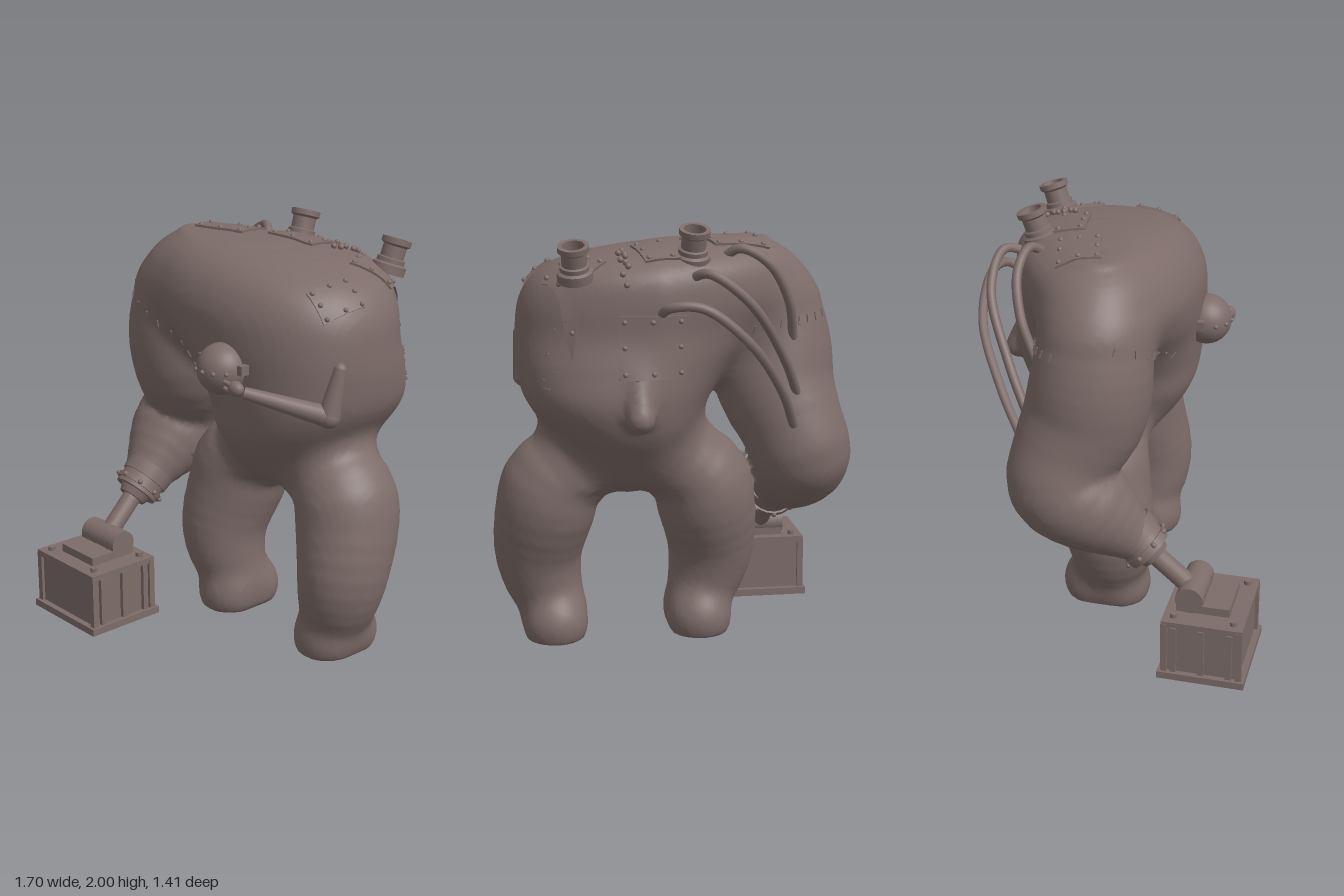
import * as THREE from 'three';
import { toCreasedNormals } from 'three/addons/utils/BufferGeometryUtils.js';

const V = (x, y, z) => new THREE.Vector3(x, y, z);
const spline = (pts, n) => new THREE.CatmullRomCurve3(pts, false, 'catmullrom', 0.5).getPoints(n);
// Smooth union of two distances
const blend = (a, b, k) => Math.min(a, b) - Math.max(k - Math.abs(a - b), 0) ** 2 / (4 * k);

// Distance to a chain of rounded links [x, y, z, radius]
function chain(pts, x, y, z) {
  let best = 9;
  for (let i = 0; i < pts.length - 1; i++) {
    const [ax, ay, az, ar] = pts[i], [bx, by, bz, br] = pts[i + 1];
    const dx = bx - ax, dy = by - ay, dz = bz - az, px = x - ax, py = y - ay, pz = z - az;
    const t = Math.min(1, Math.max(0, (px * dx + py * dy + pz * dz) / (dx * dx + dy * dy + dz * dz)));
    best = Math.min(best, Math.sqrt((px - t * dx) ** 2 + (py - t * dy) ** 2 + (pz - t * dz) ** 2) - ar - t * (br - ar));
  }
  return best;
}
function smooth(pts) {
  const n = (pts.length - 1) * 3, r = spline(pts.map((p, i) => V(p[3], i, 0)), n);
  return spline(pts.map(p => V(p[0], p[1], p[2])), n).map((p, i) => [p.x, p.y, p.z, r[i].x]);
}

// Torso cross-sections, top to bottom: [y, left edge, right edge, back, front]
const sections = [
  [1.905, -0.2, -0.19, -0.12, -0.11], [1.895, -0.41, 0.02, -0.3, 0.02], [1.865, -0.49, 0.3, -0.44, 0.12],
  [1.82, -0.55, 0.51, -0.54, 0.2], [1.75, -0.6, 0.64, -0.59, 0.26], [1.64, -0.62, 0.71, -0.6, 0.3],
  [1.5, -0.48, 0.73, -0.59, 0.3], [1.35, -0.3, 0.73, -0.61, 0.28], [1.2, -0.18, 0.7, -0.62, 0.265],
  [1.05, -0.12, 0.6, -0.57, 0.235], [0.9, -0.03, 0.46, -0.46, 0.14], [0.8, 0.08, 0.36, -0.36, 0.03],
  [0.735, 0.21, 0.22, -0.2, -0.15],
];
const mids = spline(sections.map(s => V((s[1] + s[2]) / 2, s[0], (s[3] + s[4]) / 2)), 120);
const radii = spline(sections.map(s => V((s[2] - s[1]) / 2, s[0], (s[4] - s[3]) / 2)), 120);

function torsoRaw(x, y, z) {
  const yc = Math.min(mids[0].y, Math.max(mids[120].y, y));
  let lo = 0, hi = 120;
  while (hi - lo > 1) {
    const m = (lo + hi) >> 1;
    if (mids[m].y >= yc) lo = m; else hi = m;
  }
  const t = (mids[lo].y - yc) / (mids[lo].y - mids[hi].y || 1);
  const mix = (list, k) => list[lo][k] + t * (list[hi][k] - list[lo][k]);
  const side = Math.max(0, 0.1 - x);   // thinner towards the heavy shoulder
  const rx = Math.max(0.005, mix(radii, 'x')), rz = Math.max(0.005, mix(radii, 'z') * (1 - 0.4 * side));
  const u = Math.abs(x - mix(mids, 'x')) / rx, w = Math.abs(z - 0.14 * side - mix(mids, 'z')) / rz;
  return (Math.pow(u ** 2.3 + w ** 2.3, 1 / 2.3) - 1) * Math.min(rx, rz) + Math.abs(y - yc);
}
function torso(x, y, z) {
  const e = 0.004, f = torsoRaw(x, y, z);
  if (f > 0.5) return f;
  const g = Math.hypot(torsoRaw(x + e, y, z) - f, torsoRaw(x, y + e, z) - f, torsoRaw(x, y, z + e) - f) / e;
  return f / Math.max(1, g);
}

// Limbs
const heavyArm = smooth([
  [-0.42, 1.61, -0.06, 0.22], [-0.48, 1.5, -0.06, 0.258], [-0.5, 1.35, -0.07, 0.278], [-0.505, 1.2, -0.1, 0.278],
  [-0.565, 1.03, -0.17, 0.248], [-0.61, 0.89, -0.19, 0.24], [-0.605, 0.8, -0.08, 0.22],
  [-0.575, 0.67, 0.08, 0.14], [-0.555, 0.6, 0.17, 0.1],
]);
const leg = smooth([
  [0.08, 0.95, -0.18, 0.19], [-0.12, 0.78, -0.145, 0.23], [-0.165, 0.65, -0.13, 0.235], [-0.2, 0.45, -0.08, 0.212],
  [-0.185, 0.3, -0.07, 0.188], [-0.14, 0.17, -0.09, 0.155],
]);
const foot = [[-0.13, 0.08, -0.165, 0.155], [-0.13, 0.08, -0.04, 0.155]];
const tail = [[0.21, 1.38, -0.57, 0.035], [0.21, 1.16, -0.64, 0.065]];

function bodyField(x, y, z) {
  const limb = px => blend(chain(leg, px, y, (z + 0.12) / 1.07 - 0.12), chain(foot, px, y, z), 0.05);
  const trunk = blend(torso(x, y, z), chain(tail, x, y, z), 0.04);
  const legs = blend(limb(x), limb(0.435 - x), 0.1);
  return Math.max(-y, Math.min(blend(trunk, legs, 0.12), blend(trunk, chain(heavyArm, x, y, z), 0.11)));
}

// Skin mesh over a field: one vertex per crossed cell, one quad per crossed edge
function skinGeometry(field, min, max, h) {
  const n = [0, 1, 2].map(k => Math.ceil((max[k] - min[k]) / h) + 1);
  const step = [1, n[0], n[0] * n[1]], F = new Float32Array(n[0] * n[1] * n[2]).fill(1);
  const cell = new Int32Array(F.length), pos = [], idx = [];
  const each = (from, fn) => {
    for (let k = from; k < n[2] - 1; k++) for (let j = from; j < n[1] - 1; j++) for (let i = from; i < n[0] - 1; i++)
      fn(i + j * step[1] + k * step[2], [i, j, k]);
  };
  each(0, (q, p) => { F[q] = field(...p.map((v, k) => min[k] + v * h)); });
  const corner = c => [c & 1, c >> 1 & 1, c >> 2 & 1];
  each(0, (q, p) => {
    const val = c => F[q + (c & 1) + (c >> 1 & 1) * step[1] + (c >> 2 & 1) * step[2]];
    const sum = [0, 0, 0];
    let count = 0;
    for (let c = 0; c < 8; c++) for (const b of [1, 2, 4]) {
      if (c & b || (val(c) < 0) === (val(c | b) < 0)) continue;
      const t = val(c) / (val(c) - val(c | b)), A = corner(c), B = corner(c | b);
      for (let k = 0; k < 3; k++) sum[k] += A[k] + t * (B[k] - A[k]);
      count++;
    }
    if (!count) return;
    cell[q] = pos.length / 3;
    for (let k = 0; k < 3; k++) pos.push(min[k] + (p[k] + sum[k] / count) * h);
  });
  each(1, q => {
    for (let a = 0; a < 3; a++) {
      if ((F[q] < 0) === (F[q + step[a]] < 0)) continue;
      const u = step[(a + 1) % 3], v = step[(a + 2) % 3];
      const [A, B, C, D] = [q - u - v, q - v, q, q - u].map(c => cell[c]);
      if (F[q] < 0) idx.push(A, B, C, A, C, D); else idx.push(A, C, B, A, D, C);
    }
  });
  return meshGeometry(pos, idx);
}
function meshGeometry(pos, idx) {
  const g = new THREE.BufferGeometry();
  g.setAttribute('position', new THREE.Float32BufferAttribute(pos, 3));
  g.setIndex(idx);
  g.computeVertexNormals();
  return g;
}

export function createModel() {
  const root = new THREE.Group(), skin = new THREE.MeshStandardMaterial({ color: 0x7d6c69 });
  skin.name = 'dull brown';
  const add = (name, geo, x = 0, y = 0, z = 0) => {
    const m = new THREE.Mesh(geo, skin);
    m.name = name;
    m.position.set(x, y, z);
    root.add(m);
    return m;
  };
  const box = (name, w, h, d, x, y, z) => add(name, new THREE.BoxGeometry(w, h, d), x, y, z);
  const ball = (name, r, p) => add(name, new THREE.SphereGeometry(r, 16, 12), p.x, p.y, p.z);
  const rod = (name, a, b, ra, rb = ra) => {
    const m = add(name, new THREE.CylinderGeometry(rb, ra, a.distanceTo(b), 20));
    m.position.copy(a).lerp(b, 0.5);
    m.quaternion.setFromUnitVectors(V(0, 1, 0), b.clone().sub(a).normalize());
  };
  const body = add('body', skinGeometry(bodyField, [-0.93, -0.055, -0.78], [0.93, 1.98, 0.4], 0.022));

  // Small arm reaching to the chest dome
  const tip = V(0.7, 1.45, 0.04), elbow = V(0.68, 1.235, 0.085), wrist = V(0.42, 1.345, 0.36);
  rod('smallUpperArm', elbow, tip, 0.052, 0.03);
  ball('smallShoulder', 0.03, tip);
  ball('smallElbow', 0.053, elbow);
  rod('smallForearm', elbow, wrist, 0.05, 0.028);
  ball('smallHand', 0.036, V(0.39, 1.36, 0.38)).scale.set(1.2, 1, 0.9);
  for (const dy of [-0.02, 0.01]) rod('finger', V(0.385, 1.36 + dy, 0.385), V(0.335, 1.375 + dy, 0.4), 0.014, 0.01);

  // Chest dome with bolts
  add('chestDome', new THREE.SphereGeometry(0.12, 32, 20), 0.215, 1.4, 0.305);
  for (const s of [-1, 1]) box('domeLug', 0.03, 0.045, 0.045, 0.215 + s * 0.135, 1.42, 0.3);
  for (const a of [-1, -0.5, 0, 0.5, 1]) {
    ball('domeBolt', 0.011, V(0.215 + 0.12 * Math.sin(a), 1.405, 0.305 + 0.12 * Math.cos(a)));
  }

  // Helpers that lay details on the skin
  const caster = new THREE.Raycaster();
  const hit = (p, out) => {
    caster.set(p.clone().addScaledVector(out, 0.8), out.clone().negate());
    const h = caster.intersectObject(body)[0];
    return h && { p: h.point, n: h.face.normal };
  };
  const rivet = (p, out, r = 0.012) => { const h = hit(p, out); if (h) ball('rivet', r, h.p.addScaledVector(h.n, 0.011)); };
  const stitch = (p, out, roll) => {
    const h = hit(p, out);
    if (!h) return;
    const m = box('stitch', 0.036, 0.008, 0.014, h.p.x, h.p.y, h.p.z);
    m.lookAt(h.p.clone().add(h.n));
    m.rotateZ(roll);
  };
  const patch = (name, c, dir, w, h, roll) => {
    const W = dir.clone().normalize();
    const U = (Math.abs(W.y) > 0.9 ? V(0, 0, -1) : V(0, 1, 0)).cross(W).normalize().applyAxisAngle(W, roll);
    const Y = W.clone().cross(U), t = [-1, -1, -0.6, -0.2, 0.2, 0.6, 1, 1], n = t.length, pos = [], idx = [];
    const at = (u, v) => c.clone().addScaledVector(U, u * w / 2).addScaledVector(Y, v * h / 2);
    let last = { p: c, n: W };
    for (let i = 0; i < n; i++) for (let j = 0; j < n; j++) {
      last = hit(at(t[i], t[j]), W) || last;
      const edge = i % (n - 1) === 0 || j % (n - 1) === 0, a = i * n + j;
      pos.push(...last.p.clone().addScaledVector(last.n, edge ? -0.008 : 0.011).toArray());
      if (i < n - 1 && j < n - 1) idx.push(a, a + n, a + 1, a + n, a + n + 1, a + 1);
    }
    add(name, toCreasedNormals(meshGeometry(pos, idx), 0.7));
    for (const u of [-0.82, 0, 0.82]) for (const v of [-0.82, 0, 0.82]) if (u || v) rivet(at(u, v), W);
  };

  // Riveted plates
  const up = V(0, 1, 0), back = V(0, 0, -1), front = V(0, 0, 1);
  patch('shoulderPlate', V(-0.28, 1.8, -0.18), up, 0.27, 0.2, 0.25);
  patch('middlePlate', V(0.06, 1.8, -0.36), up, 0.26, 0.25, 0.15);
  patch('rearPlate', V(0.475, 1.75, -0.4), up, 0.19, 0.22, 0.56);
  patch('sidePlate', V(0.61, 1.74, -0.02), V(0.8, 1, 0.1), 0.22, 0.16, 0.1);
  patch('backPlate', V(0.15, 1.47, -0.6), back, 0.3, 0.28, 0);

  // Seams: stitches round the arm and flank, a row of beads on the back
  for (let i = 0; i < 9; i++) {
    const k = i / 8, wob = Math.sin(i * 2);
    stitch(V(-0.68 + k * 0.6, 1.6 - 0.27 * k, 0), front, 1.2 + 0.3 * wob);
    stitch(V(-0.7 + k * 0.35, 1.55 - 0.05 * k, 0), back, 1.4);
    stitch(V(0.6, 1.28 + 0.3 * k, -0.49 + 0.03 * wob), V(1, 0, 0), 0.2 * wob);
    rivet(V(0.26 + 0.015 * wob, 1.8, -0.57 + 0.22 * k), up, 0.014);
  }

  // Chimneys
  const pipe = toCreasedNormals(new THREE.LatheGeometry([
    [0, -0.03], [0.08, -0.03], [0.08, 0.012], [0.066, 0.02], [0.066, 0.04], [0.056, 0.045], [0.056, 0.1],
    [0.07, 0.11], [0.07, 0.135], [0.05, 0.135], [0.045, 0.06], [0, 0.06],
  ].map(p => new THREE.Vector2(...p)), 28), 0.6);
  add('chimney', pipe, -0.05, 1.848, -0.43).rotation.set(-0.32, 0, 0.03);
  add('chimney', pipe, 0.48, 1.79, -0.49).rotation.set(-0.32, 0, -0.08);

  // Hoses from the back to the heavy arm
  for (const pts of [
    [[0.12, 1.6, -0.56], [0.08, 1.65, -0.64], [-0.06, 1.65, -0.67], [-0.27, 1.49, -0.65], [-0.45, 1.24, -0.51], [-0.53, 1.06, -0.4]],
    [[-0.03, 1.76, -0.5], [-0.1, 1.79, -0.59], [-0.28, 1.66, -0.6], [-0.47, 1.38, -0.46], [-0.56, 1.18, -0.35]],
    [[-0.19, 1.82, -0.35], [-0.27, 1.88, -0.41], [-0.4, 1.81, -0.43], [-0.5, 1.64, -0.39], [-0.54, 1.45, -0.31]],
  ]) add('hose', new THREE.TubeGeometry(new THREE.CatmullRomCurve3(pts.map(p => V(...p))), 40, 0.022, 10));

  // Wrist cuff, rod and hinge
  const axis = V(0, -0.68, 0.73).normalize(), cuff = V(-0.555, 0.605, 0.165);
  const along = d => cuff.clone().addScaledVector(axis, d);
  rod('wristCuff', along(-0.07), along(0), 0.128, 0.122);
  rod('cuffBand', along(-0.01), along(0.075), 0.112);
  rod('cuffFlange', along(0.03), along(0.055), 0.122);
  rod('cuffCollar', along(0.07), along(0.11), 0.085, 0.07);
  for (let i = 0; i < 8; i++) {
    const a = i / 4 * Math.PI, side = V(Math.cos(a), 0.73 * Math.sin(a), 0.68 * Math.sin(a));
    ball('cuffBolt', 0.013, along(0.043).addScaledVector(side, 0.122));
  }
  rod('wristRod', along(0.08), V(-0.54, 0.37, 0.42), 0.047);
  rod('hingeBarrel', V(-0.655, 0.37, 0.425), V(-0.4, 0.37, 0.425), 0.066);

  // Block hammer
  const bx = -0.525, bz = 0.505;
  box('hammerBase', 0.485, 0.035, 0.41, bx, 0.0175, bz);
  box('hammerBlock', 0.43, 0.27, 0.35, bx, 0.16, bz);
  box('hammerLid', 0.455, 0.03, 0.38, bx, 0.292, bz);
  box('hammerTopPlate', 0.25, 0.045, 0.25, bx, 0.325, bz - 0.015);
  for (const s of [-1, 1]) {
    box('hingeCheek', 0.03, 0.07, 0.1, bx + s * 0.08, 0.355, 0.44);
    for (const t of [-1, 1]) {
      box('cornerPost', 0.03, 0.27, 0.03, bx + s * 0.215, 0.16, bz + t * 0.175);
      add('lidBolt', new THREE.CylinderGeometry(0.018, 0.018, 0.03, 12), bx + s * 0.175, 0.312, bz + t * 0.14);
    }
    for (const t of [-1, 0, 1]) box('sideRib', 0.03, 0.24, 0.028, bx + s * 0.22, 0.16, bz + t * 0.13);
  }
  return root;
}
